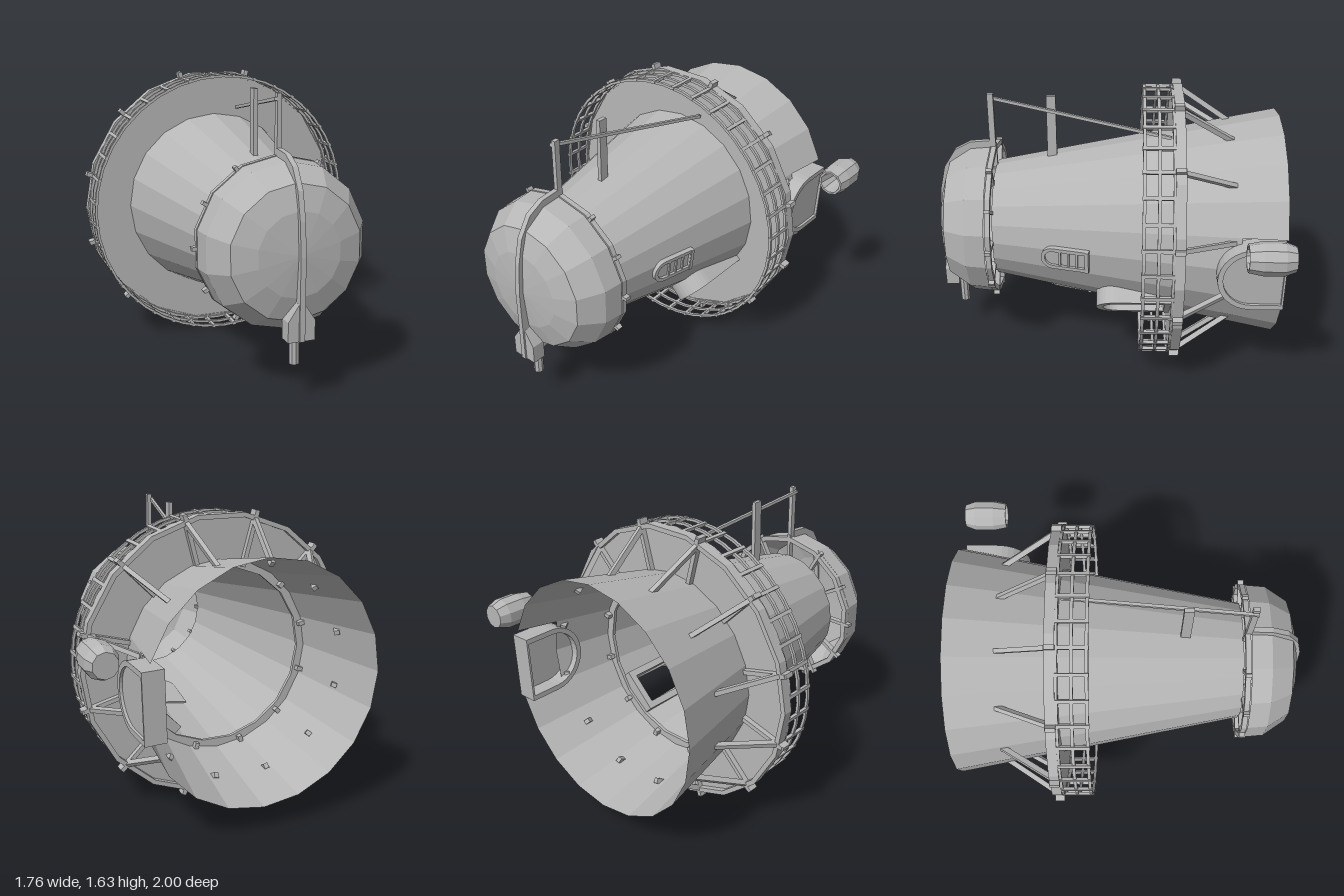
import * as THREE from 'three';

const metal = new THREE.MeshStandardMaterial({ color: 0xb6b6b6, flatShading: true, side: THREE.DoubleSide });
metal.name = 'grey metal';

const V = (x, y, z) => new THREE.Vector3(x, y, z);
const hullR = z => 0.345 + (0.64 - z) * 0.197;

function add(parent, name, geo) {
  const m = new THREE.Mesh(geo, metal);
  m.name = name;
  parent.add(m);
  return m;
}

// Surface of revolution about z, profile given as [radius, z]
function turned(profile, sides) {
  const g = new THREE.LatheGeometry(profile.map(p => new THREE.Vector2(p[0], p[1])), sides);
  return g.rotateX(Math.PI / 2);
}
const ring = (r0, r1, z0, z1, n) =>
  turned([[r0, z0], [r1, z0], [r1, z1], [r0, z1], [r0, z0]], n);

function box(parent, name, w, h, d, x, y, z) {
  const m = add(parent, name, new THREE.BoxGeometry(w, h, d));
  m.position.set(x, y, z);
  return m;
}

function beam(parent, name, a, b, w, h) {
  const d = b.clone().sub(a);
  const m = add(parent, name, new THREE.BoxGeometry(w, h, d.length()));
  m.position.copy(a).addScaledVector(d, 0.5);
  m.quaternion.setFromUnitVectors(V(0, 0, 1), d.normalize());
  return m;
}

// Group turned about the main axis so its +x points outward
function sector(parent, name, deg) {
  const g = new THREE.Group();
  g.name = name;
  g.rotation.z = deg * Math.PI / 180;
  parent.add(g);
  return g;
}

// Arch outline: round nose at +x, square back end
function archPath(P, nose, back, half) {
  const s = new P();
  s.moveTo(back, -half);
  s.lineTo(nose - half, -half);
  s.absarc(nose - half, 0, half, -Math.PI / 2, Math.PI / 2, false);
  s.lineTo(back, half);
  s.closePath();
  return s;
}

// Arch extruded outward (+x), nose towards +z, optionally hollow
function arch(nose, back, half, depth, rim, openBack) {
  const s = archPath(THREE.Shape, nose, back, half);
  if (rim) s.holes.push(archPath(THREE.Path, nose - rim, back + (openBack ? 0.012 : rim), half - rim));
  const g = new THREE.ExtrudeGeometry(s, { depth, bevelEnabled: false, curveSegments: 8 });
  return g.applyMatrix4(new THREE.Matrix4().makeBasis(V(0, 0, 1), V(0, -1, 0), V(1, 0, 0)));
}

// Tapered hull with two doorways left out
function hullGeometry() {
  const zs = [-1, -0.76, -0.36, -0.02, 0.64];
  const g = turned(zs.map(z => [hullR(z), z]), 20).toNonIndexed();
  const p = g.attributes.position.array, keep = [];
  for (let i = 0; i < p.length; i += 9) {
    const x = (p[i] + p[i + 3] + p[i + 6]) / 3;
    const y = (p[i + 1] + p[i + 4] + p[i + 7]) / 3;
    const z = (p[i + 2] + p[i + 5] + p[i + 8]) / 3;
    const a = Math.atan2(y, x) * 180 / Math.PI;
    const rearDoor = Math.abs(a) < 18 && z < -0.76;
    const lowerDoor = Math.abs(a + 45) < 9 && z > -0.36 && z < -0.02;
    if (!rearDoor && !lowerDoor) for (let k = 0; k < 9; k++) keep.push(p[i + k]);
  }
  const out = new THREE.BufferGeometry();
  out.setAttribute('position', new THREE.Float32BufferAttribute(keep, 3));
  out.computeVertexNormals();
  return out;
}

// Small framed hatch lying on the sloping hull
function hatch(parent, deg) {
  const s = sector(parent, 'hatch', deg);
  const g = new THREE.Group();
  g.position.set(hullR(0.21) - 0.015, 0, 0.21);
  g.rotation.y = -Math.atan(0.197);
  g.rotation.y *= -1;
  g.rotation.y = -g.rotation.y;
  s.add(g);
  add(g, 'hatchFrame', arch(0.14, -0.14, 0.07, 0.035, 0.022, false));
  add(g, 'hatchPanel', arch(0.125, -0.125, 0.055, 0.02, 0, false));
  box(g, 'hatchSill', 0.03, 0.14, 0.02, 0.025, 0, -0.13);
  for (const z of [-0.07, -0.02, 0.03]) box(g, 'hatchSlat', 0.012, 0.1, 0.012, 0.025, 0, z);
}

export function createModel() {
  const root = new THREE.Group();
  root.name = 'station';
  const body = new THREE.Group();
  body.name = 'body';
  body.position.set(-0.065, 0.816, 0);
  root.add(body);

  add(body, 'hull', hullGeometry());

  // Front dome, its back band and the spokes to the hull
  add(body, 'dome', turned([[0.462, 0.67], [0.452, 0.785], [0.365, 0.915], [0.23, 0.955], [0, 0.975]], 14));
  add(body, 'domeBand', ring(0.435, 0.465, 0.635, 0.665, 14));
  for (let i = 0; i < 12; i++)
    box(sector(body, 'spoke', i * 30), 'domeSpoke', 0.15, 0.02, 0.035, 0.405, 0, 0.65);

  // Keel rib over the dome
  const rib = new THREE.Shape([
    [0.67, 0.5], [0.785, 0.49], [0.88, 0.44], [0.95, 0.33], [0.985, 0.18], [1, 0], [1, -0.45], [0.67, -0.45],
    [0.67, -0.43], [0.8, -0.42], [0.9, -0.33], [0.945, -0.2], [0.965, 0], [0.945, 0.2], [0.9, 0.33], [0.79, 0.43], [0.67, 0.45],
  ].map(p => new THREE.Vector2(p[0], p[1])));
  const ribGeo = new THREE.ExtrudeGeometry(rib, { depth: 0.03, bevelEnabled: false });
  ribGeo.translate(0, 0, -0.015).applyMatrix4(new THREE.Matrix4().makeBasis(V(0, 0, 1), V(0, 1, 0), V(-1, 0, 0)));
  add(body, 'keelRib', ribGeo);
  const shield = new THREE.Shape([
    [-0.075, -0.45], [0.075, -0.45], [0.075, -0.34], [0.016, -0.25], [-0.016, -0.25], [-0.075, -0.34],
  ].map(p => new THREE.Vector2(p[0], p[1])));
  add(body, 'keelBlock', new THREE.ExtrudeGeometry(shield, { depth: 0.08, bevelEnabled: false })).position.z = 0.91;
  const peg = add(body, 'keelPeg', new THREE.CylinderGeometry(0.028, 0.028, 0.2, 8));
  peg.position.set(0, -0.505, 0.895);

  // Masts and the stay between them
  box(body, 'frontMast', 0.025, 0.34, 0.035, 0, 0.615, 0.655);
  box(body, 'rearMast', 0.025, 0.4, 0.055, 0, 0.575, 0.307);
  beam(body, 'stay', V(-0.02, 0.755, 0.67), V(0.15, 0.585, -0.38), 0.018, 0.018);

  // Ring platform
  const deck = new THREE.Group();
  deck.name = 'platform';
  deck.rotation.z = Math.PI / 2;
  body.add(deck);
  add(deck, 'deckPlate', ring(0.51, 0.815, -0.415, -0.395, 18));
  add(deck, 'deckRim', ring(0.79, 0.817, -0.445, -0.39, 18));

  // Railing
  for (const z of [-0.385, -0.305, -0.225])
    add(deck, 'railHoop', ring(0.79, 0.805, z - 0.009, z + 0.009, 36));
  for (let i = 0; i < 36; i++)
    box(sector(body, 'railPost', i * 10 + 5), 'post', 0.018, 0.02, 0.18, 0.798, 0, -0.303);

  // Radial joists and raking struts behind the platform
  for (let i = 0; i < 12; i++) {
    const s = sector(body, 'bracket', i * 30 + 15);
    box(s, 'joist', 0.31, 0.025, 0.04, 0.675, 0, -0.425);
    box(s, 'joistEnd', 0.04, 0.025, 0.055, 0.82, 0, -0.415);
    beam(s, 'strut', V(0.79, 0, -0.43), V(0.59, 0, -0.735), 0.03, 0.025);
  }

  // Hatches and doorways on the side
  hatch(body, -6);
  hatch(body, -83);
  const lower = sector(body, 'lowerDoorway', -45);
  add(lower, 'lowerDoorFrame', arch(0.04, -0.4, 0.13, 0.12, 0.04, false)).position.x = 0.44;
  const rear = sector(body, 'rearDoorway', -2);
  add(rear, 'rearDoorFrame', arch(-0.63, -1, 0.192, 0.12, 0.03, true)).position.x = 0.555;
  add(rear, 'rearDoorPanel', arch(-0.65, -0.995, 0.175, 0.009, 0, false)).position.x = 0.65;

  // Free canister with a hollow front
  const can = add(root, 'canister', turned([
    [0, -1], [0.068, -1], [0.09, -0.94], [0.09, -0.83], [0.075, -0.755], [0.062, -0.755], [0.04, -0.88], [0, -0.88],
  ], 10));
  can.position.set(0.79, 1.04, 0);
  return root;
}
